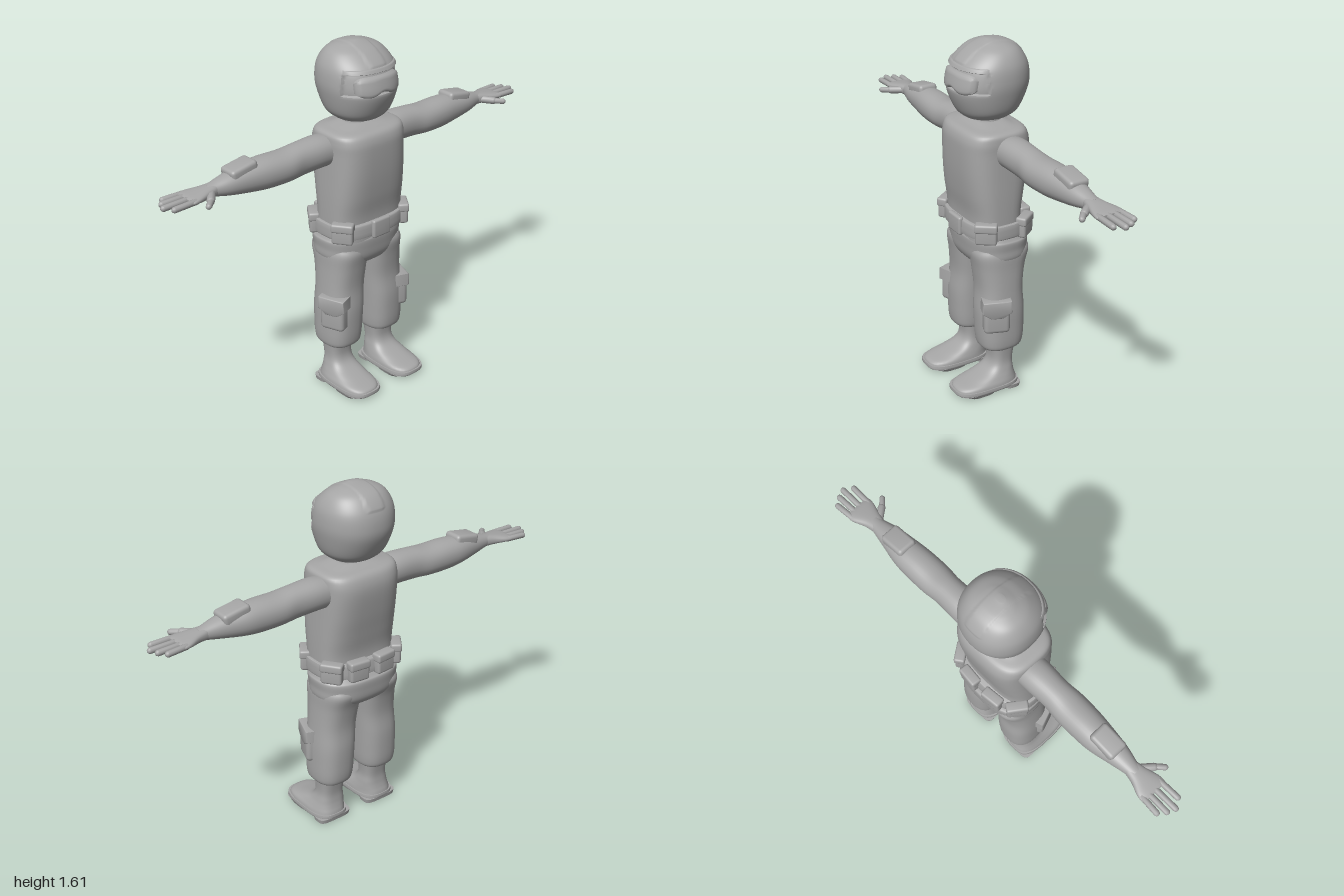
import * as THREE from 'three';
import { toCreasedNormals } from 'three/addons/utils/BufferGeometryUtils.js';
import { RoundedBoxGeometry } from 'three/addons/geometries/RoundedBoxGeometry.js';

const grey = new THREE.MeshStandardMaterial({ color: 0xa6a6a6 });
grey.name = 'plain grey';

// Smooth normals with sharp edges kept (scaled up so that small details stay distinct)
const crease = (g, angle = 0.75) => toCreasedNormals(g.scale(100, 100, 100), angle).scale(0.01, 0.01, 0.01);

// Smooth in-between station: rows are [t, lo1, hi1, lo2, hi2]
function station(rows, s) {
  const i = Math.min(Math.floor(s), rows.length - 2), u = s - i;
  const row = k => rows[Math.max(0, Math.min(rows.length - 1, k))];
  return rows[0].map((_, c) => {
    const [a, b, d, e] = [row(i - 1)[c], row(i)[c], row(i + 1)[c], row(i + 2)[c]];
    return b + 0.5 * u * (d - a + u * (2 * a - 5 * b + 4 * d - e + u * (3 * (b - d) + e - a)));
  });
}

// Point on a rounded cross-section; axis 0 = x (y, z extents), 1 = y (z, x), 2 = z (x, y)
function ringPoint(axis, [t, a0, a1, b0, b1], angle, n, k = 1) {
  const c = Math.cos(angle), s = Math.sin(angle), p = [0, 0, 0];
  const round = v => Math.sign(v) * Math.abs(v) ** (2 / n);
  p[axis] = t;
  p[(axis + 1) % 3] = (a0 + a1) / 2 + k * round(c) * (a1 - a0) / 2;
  p[(axis + 2) % 3] = (b0 + b1) / 2 + k * round(s) * (b1 - b0) / 2;
  return p;
}

// Grid of quads from a point function of column i and row j
function grid(cols, rows, point) {
  const pos = [], idx = [];
  for (let j = 0; j <= rows; j++) for (let i = 0; i <= cols; i++) {
    pos.push(...point(i, j));
    if (i < cols && j < rows) {
      const a = j * (cols + 1) + i, b = a + cols + 1;
      idx.push(a, a + 1, b + 1, a, b + 1, b);
    }
  }
  const g = new THREE.BufferGeometry();
  g.setAttribute('position', new THREE.Float32BufferAttribute(pos, 3));
  g.setIndex(idx);
  return g;
}

// Closed body through the stations
function loft(axis, rows, n = 2.3, segs = 32, steps = 5, rule = p => p) {
  const last = (rows.length - 1) * steps;
  return crease(grid(segs, last + 2, (i, j) => {
    const s = Math.max(0, Math.min(last, j - 1)) / steps;
    const cap = j === 0 || j === last + 2;
    return rule(ringPoint(axis, station(rows, s), (i % segs) / segs * Math.PI * 2, n, cap ? 0 : 1));
  }));
}

const box = (w, h, d, r = 0.012) => crease(new RoundedBoxGeometry(w, h, d, 3, r));

// Round-ended rod between two points
function rod(a, b, r) {
  const from = new THREE.Vector3(...a), to = new THREE.Vector3(...b), dir = to.clone().sub(from);
  const g = new THREE.CapsuleGeometry(r, dir.length(), 4, 10);
  g.applyQuaternion(new THREE.Quaternion().setFromUnitVectors(new THREE.Vector3(0, 1, 0), dir.normalize()));
  g.translate(...from.add(to).multiplyScalar(0.5).toArray());
  return crease(g, 1.2);
}

// Mirrored copy with its faces turned the right way round
function mirrored(geo) {
  const src = geo.index ? geo.toNonIndexed() : geo, g = new THREE.BufferGeometry();
  for (const key of ['position', 'normal']) {
    const a = src.attributes[key], out = [];
    for (let i = 0; i < a.count; i += 3)
      for (const k of [i, i + 2, i + 1]) out.push(-a.getX(k), a.getY(k), a.getZ(k));
    g.setAttribute(key, new THREE.Float32BufferAttribute(out, 3));
  }
  return g;
}

export function createModel() {
  const model = new THREE.Group();
  model.name = 'figure';
  const add = (name, geo) => {
    const m = new THREE.Mesh(geo, grey);
    m.name = name;
    model.add(m);
  };
  const pair = (name, geo) => { add(name + 'Left', geo); add(name + 'Right', mirrored(geo)); };
  const step = THREE.MathUtils.smoothstep;

  // Helmet with a sunken face opening and a raised crown band
  const shell = [
    [1.275, -0.11, 0.04, -0.08, 0.08], [1.285, -0.135, 0.075, -0.105, 0.105],
    [1.32, -0.17, 0.105, -0.14, 0.14], [1.4, -0.207, 0.135, -0.163, 0.163],
    [1.46, -0.213, 0.13, -0.168, 0.168], [1.52, -0.2, 0.105, -0.158, 0.158],
    [1.57, -0.165, 0.05, -0.125, 0.125], [1.595, -0.12, 0, -0.075, 0.075],
    [1.607, -0.06, -0.03, -0.02, 0.02]];
  add('helmet', loft(1, shell, 2.2, 96, 12, ([x, y, z]) => {
    const face = step(z, 0.038, 0.046) * step(y, 1.41, 1.416) * (1 - step(y, 1.504, 1.51));
    const crown = (1 - step(Math.abs(x), 0.04, 0.047)) * step(y, 1.52, 1.526);
    const k = 1 - 0.07 * face + 0.02 * crown;
    return [x * k, y + 0.002 * crown, -0.04 + (z + 0.04) * k];
  }));

  // Curved panel lying on the helmet, thicker in the middle than at its border
  const panel = (half, low, high, edge, rise) => crease(grid(40, 12, (i, j) => {
    const a = (i / 20 - 1) * half, v = j / 12, y = low(a) + (high(a) - low(a)) * v;
    let s0 = 0, s1 = shell.length - 1;
    for (let k = 0; k < 24; k++) {
      const m = (s0 + s1) / 2;
      if (station(shell, m)[0] < y) s0 = m; else s1 = m;
    }
    const inside = Math.min(1, 8 * Math.min(v, 1 - v, i / 40, 1 - i / 40));
    const off = edge + (rise - edge) * Math.sqrt(inside);
    const p = ringPoint(1, station(shell, s0), a, 2.2);
    return [p[0] + Math.sin(a) * off, p[1], p[2] + Math.cos(a) * off];
  }));
  add('goggles', panel(0.82, a => 1.398 + 0.022 * Math.exp(-((a / 0.2) ** 2)) + 0.03 * (a / 0.82) ** 4,
    a => 1.493 - 0.025 * (a / 0.82) ** 6, -0.015, 0.005));
  add('browRim', panel(1.15, () => 1.502, () => 1.522, -0.008, 0.006));

  // Neck and torso
  add('neck', loft(1, [[1.22, -0.1, 0.04, -0.08, 0.08], [1.25, -0.09, 0.03, -0.072, 0.072],
    [1.3, -0.085, 0.02, -0.066, 0.066]]));
  add('torso', loft(1, [
    [0.74, -0.15, 0.1, -0.19, 0.19], [0.85, -0.14, 0.1, -0.192, 0.192],
    [0.95, -0.155, 0.115, -0.192, 0.192], [1.05, -0.173, 0.125, -0.19, 0.19],
    [1.15, -0.185, 0.128, -0.188, 0.188], [1.205, -0.18, 0.124, -0.188, 0.188],
    [1.238, -0.16, 0.105, -0.178, 0.178], [1.25, -0.12, 0.06, -0.13, 0.13],
    [1.262, -0.09, 0.03, -0.075, 0.075]], 3.2, 48));

  // Belt, buckle and pouches
  add('belt', loft(1, [[0.763, -0.168, 0.115, -0.203, 0.203], [0.77, -0.172, 0.12, -0.206, 0.206],
    [0.82, -0.165, 0.118, -0.206, 0.206], [0.828, -0.16, 0.112, -0.2, 0.2]], 2.8, 48, 3));
  add('buckle', box(0.1, 0.085, 0.025, 0.01).translate(0, 0.795, 0.12));
  for (const [name, x, z, turn] of [['frontPouch', 0.177, 0.07, 0.95],
    ['sidePouch', 0.177, -0.125, Math.PI - 0.95], ['backPouch', 0.07, -0.172, Math.PI - 0.1]]) {
    pair(name, box(0.095, 0.09, 0.042).rotateY(turn).translate(x, 0.797, z));
    pair(name + 'Flap', box(0.1, 0.04, 0.05, 0.01).rotateY(turn).translate(x, 0.828, z));
  }

  // Trousers
  add('hips', loft(1, [
    [0.6, -0.1, 0.03, -0.07, 0.07], [0.615, -0.15, 0.07, -0.15, 0.15],
    [0.65, -0.177, 0.092, -0.198, 0.198], [0.7, -0.184, 0.1, -0.203, 0.203],
    [0.735, -0.185, 0.103, -0.206, 0.206], [0.748, -0.175, 0.1, -0.2, 0.2],
    [0.78, -0.15, 0.09, -0.185, 0.185]], 2.6, 48));
  pair('trouserLeg', loft(1, [
    [0.2, -0.1, 0.04, 0.06, 0.185], [0.213, -0.125, 0.066, 0.038, 0.208],
    [0.25, -0.135, 0.075, 0.03, 0.215], [0.32, -0.139, 0.079, 0.025, 0.216],
    [0.4, -0.14, 0.08, 0.02, 0.215], [0.5, -0.135, 0.073, 0.012, 0.208],
    [0.6, -0.15, 0.082, 0.002, 0.202], [0.67, -0.172, 0.092, 0, 0.2],
    [0.7, -0.165, 0.085, 0.01, 0.19]], 2.6));

  // Thigh pocket with a pointed flap
  const place = g => g.rotateY(-0.35).translate(0.19, 0.39, 0.025);
  pair('thighPocket', place(box(0.066, 0.155, 0.118, 0.02)));
  const flap = new THREE.Shape([[-0.06, 0.08], [-0.062, 0.03], [-0.025, 0.005], [0.025, 0.005],
    [0.062, 0.03], [0.06, 0.08]].map(p => new THREE.Vector2(...p)));
  const flapGeo = new THREE.ExtrudeGeometry(flap,
    { depth: 0.06, bevelEnabled: true, bevelSize: 0.004, bevelThickness: 0.006, bevelSegments: 2 });
  pair('thighPocketFlap', place(crease(flapGeo.translate(0, 0, -0.03).rotateY(Math.PI / 2))));

  // Boots with separate sole and heel
  pair('boot', loft(1, [
    [0.025, -0.1, 0.208, 0.046, 0.222], [0.045, -0.096, 0.198, 0.048, 0.218],
    [0.065, -0.09, 0.125, 0.053, 0.208], [0.095, -0.084, 0.05, 0.06, 0.195],
    [0.14, -0.082, 0.022, 0.066, 0.186], [0.22, -0.094, 0.026, 0.058, 0.192]], 2.8, 40));
  pair('sole', loft(1, [[0.014, -0.1, 0.21, 0.044, 0.222], [0.02, -0.103, 0.215, 0.042, 0.225],
    [0.034, -0.102, 0.214, 0.043, 0.224]], 3.2, 40, 3));
  pair('frontSole', loft(1, [[0, 0.025, 0.17, 0.052, 0.215], [0.018, 0.01, 0.208, 0.045, 0.222]], 3.6, 32, 2));
  pair('heel', loft(1, [[0, -0.098, -0.02, 0.05, 0.217], [0.02, -0.102, -0.015, 0.046, 0.221]], 4, 32, 2));

  // Sleeves and forearm pads
  pair('arm', loft(0, [
    [0.14, 1.09, 1.222, -0.12, 0.025], [0.22, 1.09, 1.23, -0.12, 0.024],
    [0.32, 1.085, 1.225, -0.116, 0.02], [0.4, 1.08, 1.217, -0.123, 0.027],
    [0.5, 1.08, 1.219, -0.124, 0.023], [0.58, 1.088, 1.214, -0.12, 0.014],
    [0.68, 1.105, 1.197, -0.1, 0], [0.75, 1.12, 1.18, -0.086, -0.018],
    [0.78, 1.124, 1.174, -0.084, -0.02]], 2.2));
  pair('forearmPad', box(0.13, 0.055, 0.092, 0.016).rotateZ(-0.17).translate(0.615, 1.196, -0.053));

  // Hands
  pair('palm', loft(0, [
    [0.74, 1.123, 1.177, -0.084, -0.02], [0.79, 1.125, 1.172, -0.094, -0.01],
    [0.84, 1.13, 1.165, -0.115, 0.004], [0.87, 1.132, 1.16, -0.12, 0.008],
    [0.885, 1.136, 1.155, -0.115, 0.004]], 2.6));
  [[0.947, -0.112, -0.105], [0.972, -0.08, -0.077], [0.987, -0.045, -0.045], [0.962, -0.006, -0.008]]
    .forEach(([tip, z, base], i) =>
      pair('finger' + (i + 1), rod([0.86, 1.146, base], [tip, 1.144, z], 0.013)));
  pair('thumbBase', rod([0.77, 1.147, -0.032], [0.81, 1.143, 0.018], 0.017));
  pair('thumb', rod([0.8, 1.144, 0.012], [0.842, 1.14, 0.05], 0.013));

  return model;
}
